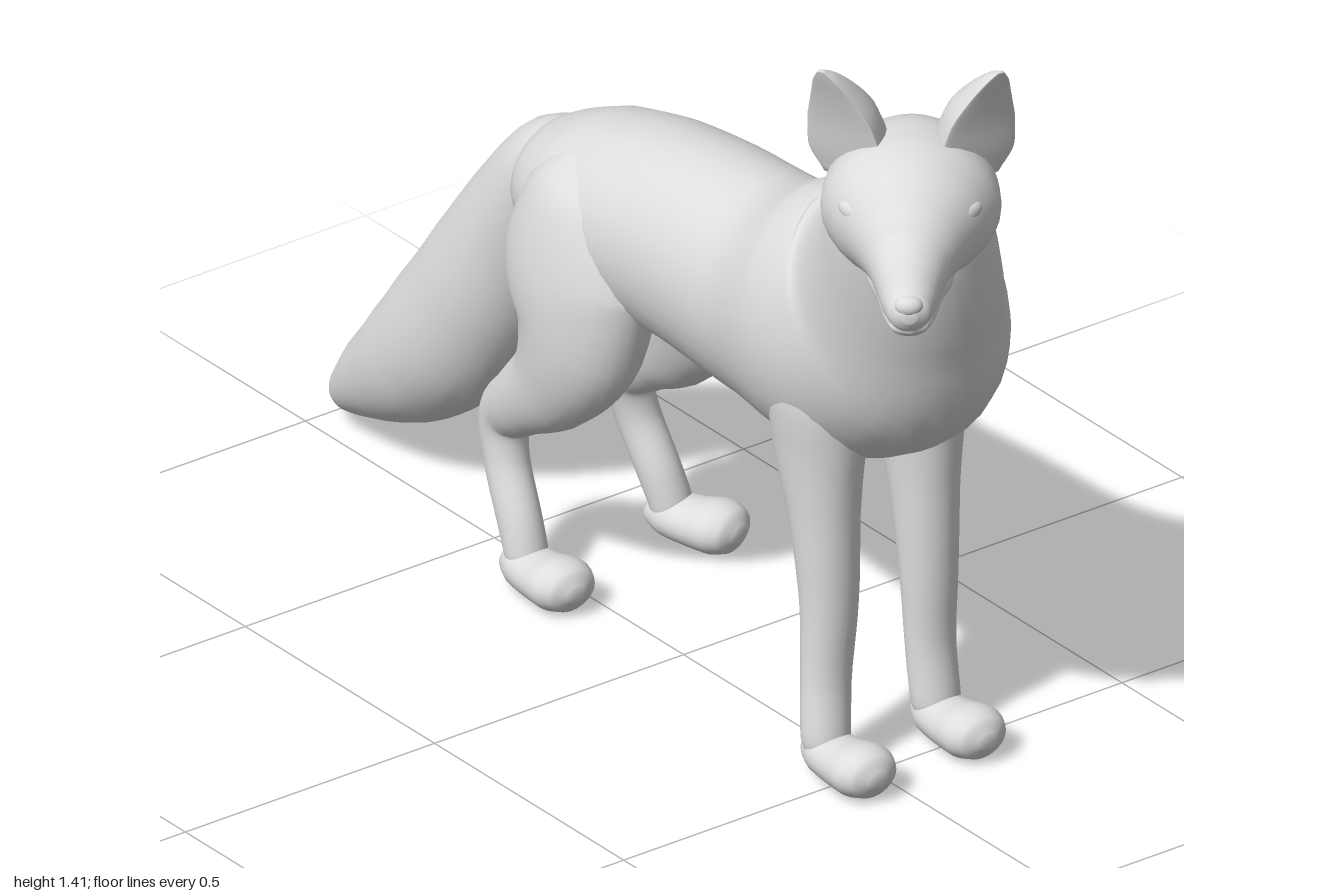
import * as THREE from 'three';

const coat = new THREE.MeshStandardMaterial({ color: 0xdedede });
coat.name = 'light grey';

const SIDES = 32;

// Smooth closed body through rows of [x, y, z, sideRadius, upRadius].
// Rings stand square to the centre line; cup < 1 flattens the half facing -up.
function loft(name, rows, cup = 1) {
  const path = new THREE.CatmullRomCurve3(rows.map(r => new THREE.Vector3(r[0], r[1], r[2])));
  const radii = new THREE.CatmullRomCurve3(rows.map(r => new THREE.Vector3(r[3], r[4], 0)));
  const steps = (rows.length - 1) * 5;
  const pos = [], index = [];
  for (let i = 0; i <= steps; i++) {
    const t = i / steps;
    const c = path.getPoint(t), tangent = path.getTangent(t), r = radii.getPoint(t);
    const side = new THREE.Vector3(1, 0, 0).addScaledVector(tangent, -tangent.x).normalize();
    const up = new THREE.Vector3().crossVectors(tangent, side);
    for (let j = 0; j < SIDES; j++) {
      const a = (j / SIDES) * Math.PI * 2;
      const s = Math.sin(a);
      const p = c.clone()
        .addScaledVector(side, Math.cos(a) * r.x)
        .addScaledVector(up, (s < 0 ? s * cup : s) * r.y);
      pos.push(p.x, p.y, p.z);
      if (i < steps) {
        const k = (j + 1) % SIDES, b = i * SIDES;
        index.push(b + j, b + k, b + SIDES + j, b + k, b + SIDES + k, b + SIDES + j);
      }
    }
  }
  // End caps
  const first = pos.length / 3, last = steps * SIDES;
  const p0 = path.getPoint(0), p1 = path.getPoint(1);
  pos.push(p0.x, p0.y, p0.z, p1.x, p1.y, p1.z);
  for (let j = 0; j < SIDES; j++) {
    const k = (j + 1) % SIDES;
    index.push(first, k, j, first + 1, last + j, last + k);
  }
  const g = new THREE.BufferGeometry();
  g.setAttribute('position', new THREE.Float32BufferAttribute(pos, 3));
  g.setIndex(index);
  g.computeVertexNormals();
  const mesh = new THREE.Mesh(g, coat);
  mesh.name = name;
  return mesh;
}

function ball(name, x, y, z, rx, ry, rz) {
  const mesh = new THREE.Mesh(new THREE.SphereGeometry(1, 24, 16), coat);
  mesh.position.set(x, y, z);
  mesh.scale.set(rx, ry, rz);
  mesh.name = name;
  return mesh;
}

// Foot with the ankle above the origin, toes toward +z
function makePaw(name, x, z, yaw) {
  const paw = loft(name, [
    [0, 0.05, -0.036, 0.01, 0.01], [0, 0.047, -0.027, 0.028, 0.026],
    [0, 0.043, 0.005, 0.043, 0.037], [0, 0.043, 0.06, 0.052, 0.04],
    [0, 0.047, 0.1, 0.057, 0.044], [0, 0.046, 0.13, 0.045, 0.036],
    [0, 0.045, 0.146, 0.015, 0.012],
  ]);
  paw.position.set(x, 0, z);
  paw.rotation.y = yaw;
  return paw;
}

function makeHead() {
  const head = new THREE.Group();
  head.name = 'head';
  head.add(loft('skullAndMuzzle', [
    [0, -0.005, -0.145, 0.03, 0.03], [0, -0.003, -0.115, 0.09, 0.085],
    [0, -0.002, -0.04, 0.136, 0.118], [0, -0.004, 0.03, 0.145, 0.123],
    [0, -0.009, 0.09, 0.126, 0.113], [0, -0.02, 0.14, 0.094, 0.09],
    [0, -0.033, 0.19, 0.067, 0.067], [0, -0.038, 0.25, 0.053, 0.052],
    [0, -0.039, 0.3, 0.044, 0.043], [0, -0.039, 0.333, 0.034, 0.033],
    [0, -0.038, 0.349, 0.012, 0.012],
  ]));
  head.add(loft('lowerJaw', [
    [0, -0.085, 0.02, 0.07, 0.04], [0, -0.085, 0.12, 0.07, 0.035],
    [0, -0.08, 0.2, 0.053, 0.029], [0, -0.077, 0.27, 0.042, 0.022],
    [0, -0.073, 0.315, 0.03, 0.016], [0, -0.071, 0.33, 0.008, 0.006],
  ]));
  head.add(ball('nose', 0, -0.024, 0.335, 0.023, 0.017, 0.017));
  for (const s of [1, -1]) {
    const eye = ball('eye', s * 0.092, 0.028, 0.117, 0.03, 0.016, 0.012);
    eye.rotation.set(0, s * 0.75, s * 0.15);
    // Thick cupped ear, open toward the front and outside
    const ear = loft('ear', [
      [0, -0.06, 0, 0.045, 0.055], [0, -0.01, 0.012, 0.067, 0.085],
      [s * 0.003, 0.05, 0.026, 0.059, 0.072], [s * 0.008, 0.1, 0.043, 0.039, 0.046],
      [s * 0.013, 0.138, 0.059, 0.02, 0.022], [s * 0.015, 0.155, 0.066, 0.006, 0.006],
    ], 0.06);
    ear.position.set(s * 0.1, 0.09, -0.003);
    ear.rotation.y = s * 0.5;
    head.add(eye, ear);
  }
  head.position.set(-0.09, 1.17, 0.72);
  head.rotation.y = -0.66;
  return head;
}

export function createModel() {
  const fox = new THREE.Group();
  fox.name = 'fox';

  // Rump, belly, chest and turned neck in one sweep
  fox.add(loft('torsoAndNeck', [
    [0.06, 0.69, -0.425, 0.04, 0.04], [0.06, 0.695, -0.385, 0.115, 0.1],
    [0.06, 0.705, -0.28, 0.155, 0.142], [0.06, 0.715, -0.15, 0.165, 0.167],
    [0.06, 0.725, 0, 0.162, 0.18], [0.06, 0.725, 0.2, 0.167, 0.194],
    [0.05, 0.757, 0.37, 0.184, 0.23], [0.045, 0.825, 0.5, 0.173, 0.224],
    [0.008, 0.935, 0.585, 0.146, 0.178], [-0.025, 1.04, 0.64, 0.13, 0.147],
    [-0.05, 1.13, 0.675, 0.115, 0.118], [-0.07, 1.19, 0.695, 0.075, 0.08],
  ]));

  fox.add(makeHead());

  // Bushy tail hanging behind
  fox.add(loft('tail', [
    [0.06, 0.77, -0.29, 0.06, 0.04], [0.06, 0.7, -0.405, 0.083, 0.085],
    [0.06, 0.585, -0.49, 0.094, 0.102], [0.06, 0.43, -0.58, 0.108, 0.124],
    [0.06, 0.3, -0.67, 0.113, 0.128], [0.06, 0.2, -0.77, 0.105, 0.11],
    [0.06, 0.125, -0.87, 0.08, 0.078], [0.06, 0.068, -0.95, 0.048, 0.042],
    [0.06, 0.043, -0.995, 0.014, 0.012],
  ]));

  for (const s of [1, -1]) {
    const label = s > 0 ? 'left' : 'right';
    const side = d => 0.06 + s * d;

    // Foreleg, its shoulder sunk into the chest
    const footSide = s > 0 ? 0.1 : 0.12;
    fox.add(loft(label + 'Foreleg', [
      [side(0.075), 0.8, 0.43, 0.05, 0.06], [side(0.098), 0.69, 0.415, 0.078, 0.1],
      [side(0.1), 0.57, 0.412, 0.067, 0.088], [side(0.1), 0.45, 0.425, 0.056, 0.062],
      [side(0.1), 0.3, 0.437, 0.049, 0.046],
      [side((0.1 + footSide) / 2), 0.16, 0.442, 0.043, 0.038],
      [side(footSide), 0.07, 0.455, 0.042, 0.038], [side(footSide), 0.03, 0.46, 0.03, 0.025],
    ]));
    fox.add(makePaw(label + 'ForePaw', side(footSide), 0.452, 0));

    // Hind leg with broad thigh and bent hock; the left foot stands wider
    const splay = s > 0 ? 0.05 : 0;
    const hock = s > 0 ? 0.132 : 0.115;
    fox.add(loft(label + 'HindLeg', [
      [side(0.055), 0.83, -0.2, 0.03, 0.05], [side(0.085), 0.75, -0.205, 0.085, 0.13],
      [side(0.105), 0.63, -0.205, 0.096, 0.167], [side(0.117), 0.52, -0.2, 0.085, 0.13],
      [side(0.123), 0.42, -0.25, 0.066, 0.088], [side(0.126), 0.345, -0.335, 0.047, 0.06],
      [side(hock), 0.285, -0.4, 0.039, 0.048],
      [side(hock + splay * 0.3), 0.21, -0.395, 0.036, 0.04],
      [side(0.12 + splay * 0.8), 0.12, -0.355, 0.036, 0.038],
      [side(0.12 + splay), 0.06, -0.335, 0.036, 0.034],
      [side(0.12 + splay), 0.028, -0.33, 0.02, 0.02],
    ]));
    fox.add(makePaw(label + 'HindPaw', side(0.12 + splay), -0.345, s > 0 ? 0.3 : 0));
  }
  return fox;
}
